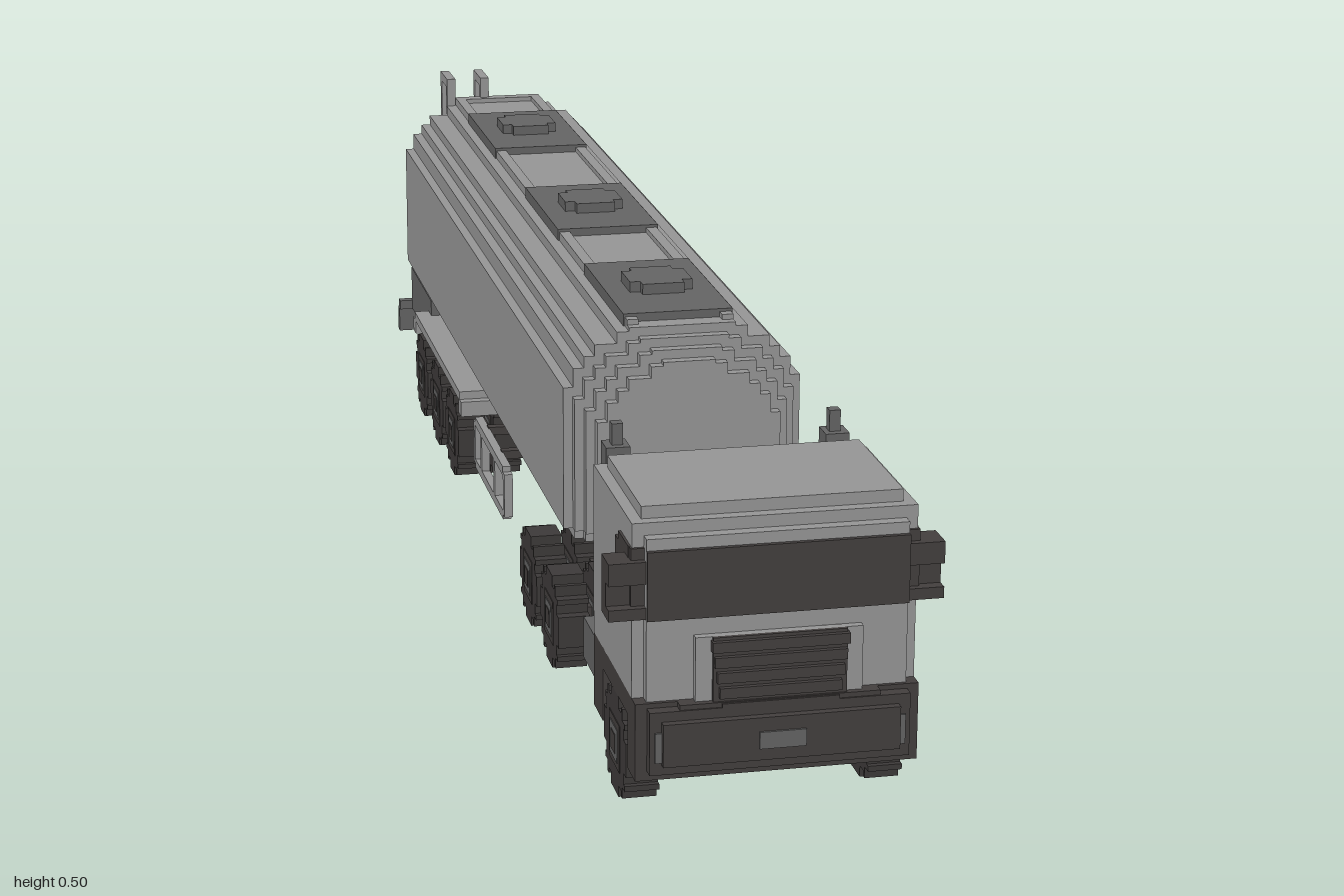
import * as THREE from 'three';

const mat = (name, color) => Object.assign(new THREE.MeshStandardMaterial({ color }), { name });
const light = mat('lightGrey', 0x969696);
const mid = mat('midGrey', 0x646464);
const dark = mat('charcoal', 0x433f3e);
const tyreMat = mat('tyreDark', 0x3d3a39);

export function createModel() {
  const root = new THREE.Group();
  root.name = 'tankerTruck';
  let target = root;

  const section = (name) => {
    target = new THREE.Group();
    target.name = name;
    root.add(target);
  };
  const add = (name, geo, m) => {
    const mesh = new THREE.Mesh(geo, m);
    mesh.name = name;
    target.add(mesh);
    return mesh;
  };
  // Block given by its limits on each axis
  const box = (name, m, x0, x1, y0, y1, z0, z1) => {
    const mesh = add(name, new THREE.BoxGeometry(x1 - x0, y1 - y0, z1 - z0), m);
    mesh.position.set((x0 + x1) / 2, (y0 + y1) / 2, (z0 + z1) / 2);
    return mesh;
  };
  const centred = (name, m, hw, ...r) => box(name, m, -hw, hw, ...r);
  const pair = (name, m, x0, x1, ...r) => {
    box(name + 'Left', m, x0, x1, ...r);
    box(name + 'Right', m, -x1, -x0, ...r);
  };

  // Tank: stepped cross-section, with shrinking layers at both ends
  section('tank');
  const rows = [[0.18, 0.195, 0.142], [0.195, 0.385, 0.156], [0.385, 0.41, 0.143], [0.41, 0.425, 0.129],
    [0.425, 0.44, 0.115], [0.44, 0.455, 0.086], [0.455, 0.46, 0.07]];
  for (let k = 0; k < 4; k++) {
    const d = 0.012 * k;
    const half = [];
    rows.forEach(([y0, y1, hw], i) => {
      const low = i < 2 ? y0 : y0 - d;
      half.push(new THREE.Vector2(hw - d, low), new THREE.Vector2(hw - d, y1 - (i < 1 ? 0 : d)));
    });
    const other = half.map((p) => new THREE.Vector2(-p.x, p.y)).reverse();
    const z0 = -0.93 - 0.014 * k, z1 = 0.463 + 0.014 * k;
    const geo = new THREE.ExtrudeGeometry(new THREE.Shape([...half, ...other]), { depth: z1 - z0, bevelEnabled: false });
    geo.translate(0, 0, z0);
    add('tankShell', geo, light);
  }

  // Walkway rails, plates and hatches on top
  pair('walkwayRail', light, 0.055, 0.07, 0.455, 0.467, -0.93, 0.45);
  centred('walkwayEnd', light, 0.07, 0.455, 0.467, -0.94, -0.92);
  for (const z of [0.307, -0.142, -0.662]) {
    centred('walkwayPlate', mid, 0.072, 0.455, 0.471, z - 0.129, z + 0.129);
    centred('hatchLid', mid, 0.028, 0.47, 0.485, z - 0.043, z + 0.043);
    centred('hatchLidSides', mid, 0.042, 0.47, 0.485, z - 0.028, z + 0.028);
  }

  // Rear ladder
  section('ladder');
  for (const x of [-0.085, -0.029]) {
    box('ladderUpright', light, x, x + 0.014, 0.18, 0.5, -1, -0.987);
    box('ladderTopBar', light, x, x + 0.014, 0.486, 0.5, -0.987, -0.93);
    box('ladderFrontPost', light, x, x + 0.014, 0.44, 0.486, -0.943, -0.93);
    box('ladderFoot', light, x, x + 0.014, 0.2, 0.213, -0.987, -0.965);
  }
  for (let i = 0; i < 9; i++) box('ladderRung', light, -0.071, -0.029, 0.2 + i * 0.028, 0.21 + i * 0.028, -0.998, -0.988);

  // Trailer frame, rear box and bumper
  section('trailerFrame');
  pair('frameRail', dark, 0.04, 0.07, 0.145, 0.18, -0.96, 0.37);
  centred('kingpinPlate', dark, 0.1, 0.155, 0.18, 0.2, 0.38);
  centred('axleFrame', dark, 0.07, 0.09, 0.15, -0.8, -0.3);
  centred('underFloor', dark, 0.12, 0.165, 0.18, -0.96, -0.2);
  centred('rearBox', mid, 0.145, 0.1, 0.172, -0.965, -0.745);
  pair('bumperArm', mid, 0.06, 0.085, 0.085, 0.115, -0.98, -0.93);
  centred('rearBumper', mid, 0.166, 0.06, 0.1, -0.985, -0.97);
  centred('rearBumperLip', mid, 0.166, 0.1, 0.115, -0.975, -0.96);

  // Trailer fenders, stepping down at both ends
  pair('fenderTop', light, 0.075, 0.168, 0.133, 0.147, -0.775, -0.315);
  for (const [z0, z1] of [[-0.79, -0.765], [-0.325, -0.3]]) pair('fenderEnd', light, 0.075, 0.168, 0.112, 0.135, z0, z1);

  // Side guards
  section('sideGuards');
  for (const y of [0.078, 0.143]) pair('guardRail', light, 0.158, 0.17, y, y + 0.013, -0.157, 0.08);
  for (const z of [-0.17, -0.112, 0.0, 0.08]) pair('guardPost', light, 0.158, 0.17, 0.085, 0.148, z, z + 0.013);
  for (const z of [-0.11, 0.003]) centred('guardCrossBar', dark, 0.16, 0.146, 0.158, z, z + 0.014);

  // Tractor chassis
  section('chassis');
  pair('chassisRail', dark, 0.04, 0.056, 0.08, 0.125, 0.2, 0.9);
  pair('chassisTail', dark, 0.04, 0.056, 0.085, 0.11, 0.16, 0.2);
  for (const z of [0.18, 0.35, 0.52, 0.6, 0.68]) centred('crossMember', dark, 0.1, 0.09, 0.11, z, z + 0.016);
  centred('driveShaft', dark, 0.014, 0.075, 0.1, 0.25, 0.73);
  centred('engineDeck', dark, 0.045, 0.1, 0.135, 0.6, 0.73);
  centred('couplingPlate', dark, 0.06, 0.125, 0.155, 0.26, 0.47);
  pair('fuelTank', mid, 0.1, 0.157, 0.07, 0.125, 0.6, 0.715);
  pair('fuelTankTop', mid, 0.112, 0.145, 0.125, 0.137, 0.612, 0.703);

  // Exhaust stacks
  pair('exhaustStack', mid, 0.122, 0.152, 0.137, 0.385, 0.685, 0.718);
  pair('exhaustTip', mid, 0.129, 0.143, 0.385, 0.412, 0.693, 0.708);

  // Cab
  section('cab');
  centred('cabBody', light, 0.17, 0.155, 0.37, 0.73, 0.952);
  centred('cabRoof', light, 0.156, 0.37, 0.385, 0.745, 0.937);
  centred('cabFront', light, 0.156, 0.14, 0.355, 0.94, 0.967);
  centred('windscreen', dark, 0.156, 0.257, 0.341, 0.966, 0.973);
  pair('windowCorner', dark, 0.15, 0.172, 0.257, 0.341, 0.94, 0.956);
  pair('sideWindow', dark, 0.165, 0.173, 0.27, 0.33, 0.872, 0.945);
  pair('sideWindowMiddle', dark, 0.165, 0.173, 0.257, 0.341, 0.89, 0.945);
  centred('grilleFrame', light, 0.1, 0.155, 0.235, 0.96, 0.977);
  for (let i = 0; i < 5; i++) {
    const y = 0.142 + i * 0.019;
    centred('grilleBar', dark, 0.07 + 0.003 * i, y, y + 0.013, 0.96, 0.988);
  }
  centred('grilleBack', dark, 0.08, 0.14, 0.235, 0.96, 0.982);
  centred('cabRearPanel', dark, 0.075, 0.13, 0.29, 0.718, 0.735);
  for (const y of [0.16, 0.2, 0.24]) centred('rearPanelRib', mid, 0.06, y, y + 0.014, 0.712, 0.72);

  // Lower cab, wheel arches and bumper
  centred('cabFloor', dark, 0.12, 0.075, 0.156, 0.73, 0.985);
  centred('wheelArch', dark, 0.17, 0.128, 0.156, 0.73, 0.95);
  pair('step', dark, 0.1, 0.17, 0.06, 0.13, 0.73, 0.785);
  centred('bumperBody', dark, 0.17, 0.06, 0.156, 0.93, 0.972);
  centred('bumperMiddle', dark, 0.156, 0.072, 0.15, 0.97, 0.987);
  centred('bumperFront', dark, 0.142, 0.085, 0.138, 0.98, 0.997);
  centred('bumperPlate', mid, 0.028, 0.1, 0.121, 0.994, 1);
  pair('headlamp', mid, 0.142, 0.15, 0.088, 0.125, 0.985, 0.99);

  // Mirrors: open frames on each side
  for (const y of [0.257, 0.3]) pair('mirrorArm', dark, 0.155, 0.2, y, y + (y < 0.28 ? 0.014 : 0.027), 0.925, 0.965);
  pair('mirrorHousing', dark, 0.17, 0.2, 0.257, 0.327, 0.925, 0.95);

  // Wheels: blocky stepped discs with a raised square hub
  section('wheels');
  const v = 0.0142;
  const quarter = [[4.5, 1.5], [3.5, 1.5], [3.5, 2.5], [4, 2.5], [4, 3], [3, 3], [3, 4], [2.5, 4], [2.5, 3.5], [1.5, 3.5], [1.5, 4.5]];
  const outline = [];
  for (let q = 0; q < 4; q++) {
    for (const [a, b] of quarter) {
      outline.push(new THREE.Vector2(a * v, b * v).rotateAround(new THREE.Vector2(), q * Math.PI / 2));
    }
  }
  const tyreGeo = new THREE.ExtrudeGeometry(new THREE.Shape(outline), { depth: 0.042, bevelEnabled: false });
  tyreGeo.translate(0, 0, -0.021).rotateY(Math.PI / 2);
  const wheel = (x, z) => {
    add('tyre', tyreGeo, tyreMat).position.set(x, 0.064, z);
    const s = Math.sign(x), face = x + s * 0.021;
    const hub = (name, m, r, t) => box(name, m, face - t, face + t, 0.064 - r, 0.064 + r, z - r, z + r);
    hub('wheelRim', dark, 0.03, 0.001);
    hub('wheelRing', mid, 0.021, 0.002);
    hub('wheelHub', dark, 0.012, 0.003);
  };
  for (const s of [-1, 1]) {
    wheel(s * 0.149, 0.857);
    for (const z of [0.433, 0.278, -0.38, -0.533, -0.69]) {
      wheel(s * 0.149, z);
      wheel(s * 0.093, z);
    }
  }
  for (const z of [0.857, 0.433, 0.278, -0.38, -0.533, -0.69]) centred('axle', dark, 0.14, 0.05, 0.078, z - 0.014, z + 0.014);

  return root;
}
